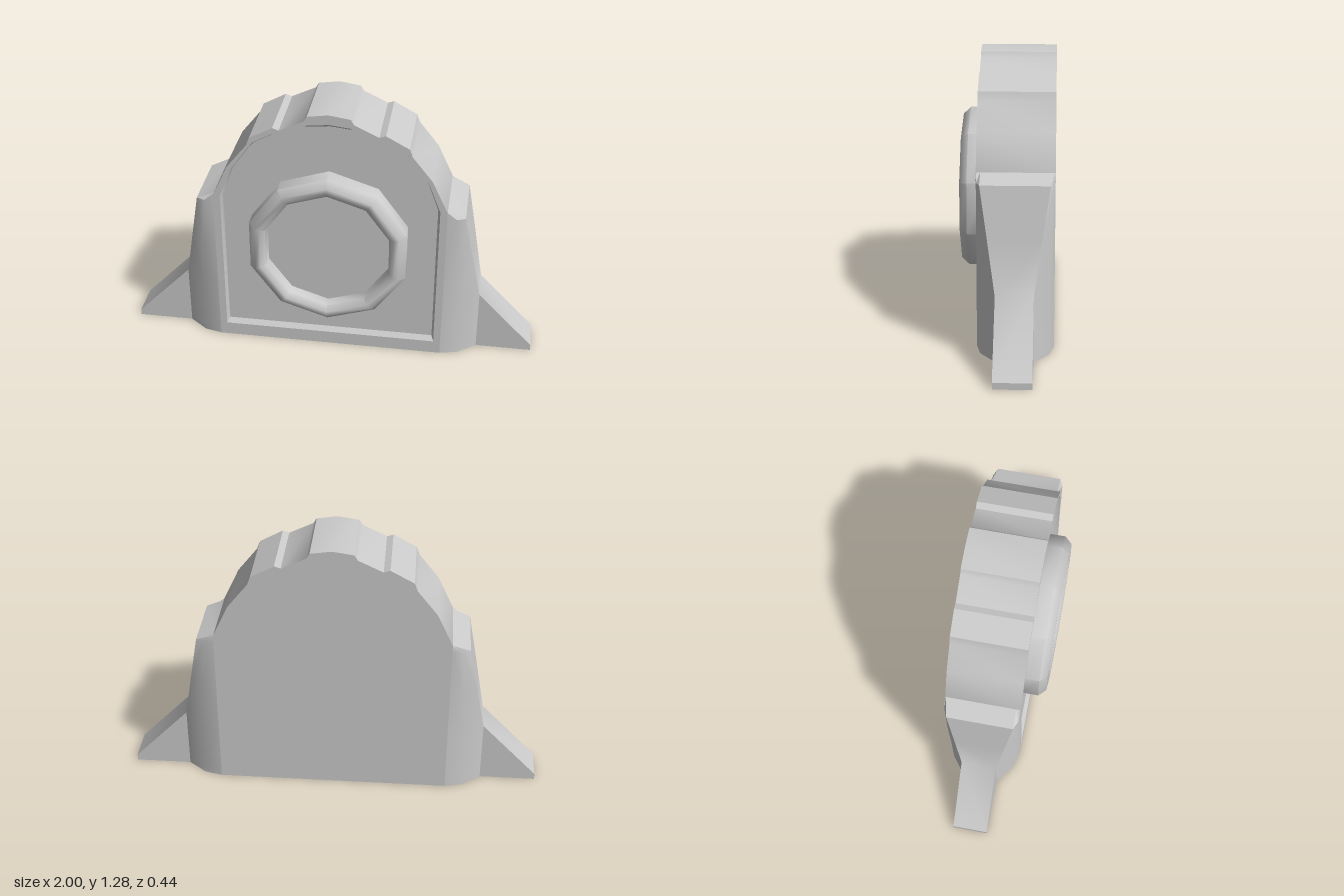
import * as THREE from 'three';
import { toCreasedNormals } from 'three/addons/utils/BufferGeometryUtils.js';

const material = new THREE.MeshStandardMaterial({ color: 0xcccccc });

function addMesh(parent, name, geometry) {
  const mesh = new THREE.Mesh(geometry, material);
  mesh.name = name;
  parent.add(mesh);
  return mesh;
}

// Joins closed loops of equal length, skipping triangles that have no area
function skin(loops, crease) {
  const out = [], t = new THREE.Triangle();
  const face = (a, b, c) => {
    if (t.set(a, b, c).getArea() > 1e-7) for (const v of [a, b, c]) out.push(v.x, v.y, v.z);
  };
  for (let k = 0; k + 1 < loops.length; k++) {
    const n = loops[k].length;
    for (let i = 0; i < n; i++) {
      const j = (i + 1) % n;
      face(loops[k][i], loops[k][j], loops[k + 1][j]);
      face(loops[k][i], loops[k + 1][j], loops[k + 1][i]);
    }
  }
  const geometry = new THREE.BufferGeometry();
  geometry.setAttribute('position', new THREE.Float32BufferAttribute(out, 3));
  return toCreasedNormals(geometry, crease);
}

// Mirrors a half outline, running counterclockwise from the bottom right to the bottom left
function mirrorOutline(half) {
  const right = half.slice().reverse();
  const left = half.slice(1).map(([x, y]) => [-x, y]);
  return [...right, ...left].map(([x, y]) => new THREE.Vector2(x, y));
}

const atDepth = (outline, z) => outline.map(p => new THREE.Vector3(p.x, p.y, z));

function createBody() {
  const body = new THREE.Group();
  body.name = 'body';
  const outer = mirrorOutline([
    [0, 1.285], [0.1, 1.27], [0.115, 1.245], [0.23, 1.19], [0.26, 1.2],
    [0.37, 1.14], [0.385, 1.1], [0.48, 0.98], [0.555, 0.82], [0.555, 0],
  ]);
  const inner = mirrorOutline([
    [0, 1.22], [0.1, 1.21], [0.11, 1.208], [0.22, 1.175], [0.26, 1.16],
    [0.35, 1.11], [0.37, 1.09], [0.455, 0.97], [0.51, 0.82], [0.51, 0.09],
  ]);
  const lip = inner.map((p, i) => p.clone().lerp(outer[i], 0.25));

  // Arched shell with a raised rim around the front panel
  addMesh(body, 'shell', skin([
    atDepth(outer, -0.22), atDepth(outer, 0.13), atDepth(lip, 0.13), atDepth(inner, 0.11),
  ], 0.6));

  const front = new THREE.ShapeGeometry(new THREE.Shape(inner));
  addMesh(body, 'frontPanel', front.translate(0, 0, 0.11));

  const back = new THREE.ShapeGeometry(new THREE.Shape(outer.map(p => new THREE.Vector2(-p.x, p.y)).reverse()));
  addMesh(body, 'backPanel', back.rotateY(Math.PI).translate(0, 0, -0.22));
  return body;
}

// Side buttress that narrows outward and runs into a sloping foot
function createButtress() {
  const middle = -0.045;
  const halfDepths = [0.175, 0.155, 0.085, 0.085];
  const row = (y, xs, depths) => {
    const front = xs.map((x, i) => new THREE.Vector3(x, y, middle + depths[i]));
    const back = xs.map((x, i) => new THREE.Vector3(x, y, middle - depths[i])).reverse();
    return [...front, ...back];
  };
  return skin([
    row(0, [0.555, 0.64, 0.73, 1], [0, 0, 0, 0]),
    row(0, [0.555, 0.64, 0.73, 1], halfDepths),
    row(0.03, [0.555, 0.64, 0.73, 1], halfDepths),
    row(0.31, [0.555, 0.64, 0.73, 0.73], halfDepths),
    row(0.55, [0.555, 0.625, 0.685, 0.685], [0.175, 0.165, 0.12, 0.12]),
    row(0.785, [0.555, 0.6, 0.64, 0.64], [0.175, 0.172, 0.155, 0.155]),
    row(0.82, [0.555, 0.555, 0.555, 0.555], [0.175, 0.172, 0.155, 0.155]),
  ], 0.6);
}

export function createModel() {
  const model = new THREE.Group();
  model.name = 'archedHousing';
  model.add(createBody());

  // Matching buttresses on both sides
  const buttress = createButtress();
  addMesh(model, 'leftButtress', buttress);
  addMesh(model, 'rightButtress', buttress).scale.x = -1;

  // Ten-sided collar with chamfered edges and a sunken disc
  const profile = [[0.393, 0.1], [0.393, 0.185], [0.36, 0.22], [0.335, 0.22], [0.31, 0.2], [0.305, 0.15], [0, 0.15]]
    .map(([r, z]) => new THREE.Vector2(r, z)).reverse();
  const collar = new THREE.LatheGeometry(profile.reverse(), 10).rotateX(Math.PI / 2);
  const collarMesh = addMesh(model, 'collar', toCreasedNormals(collar, 0.9));
  collarMesh.position.y = 0.592;
  return model;
}
